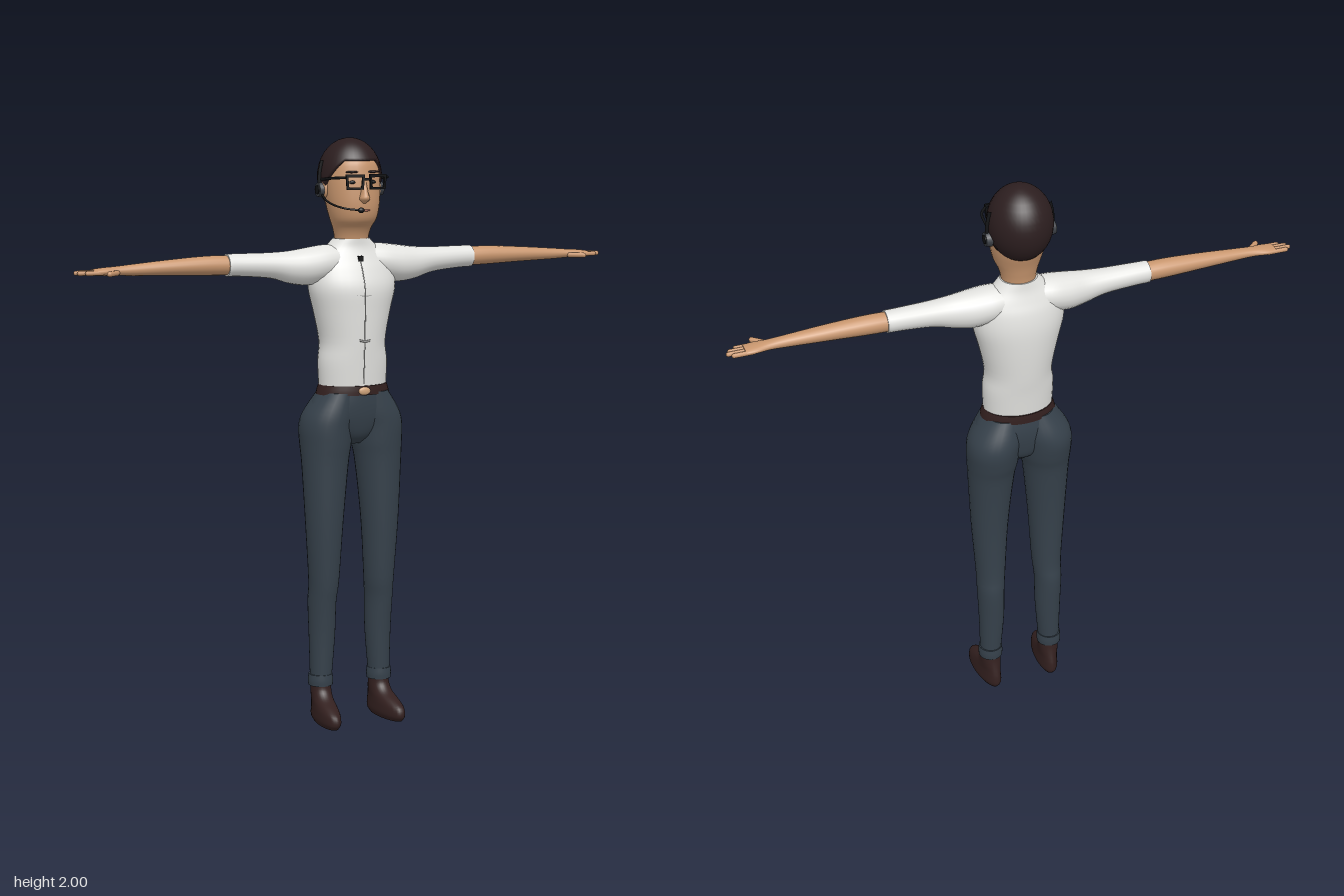
import * as THREE from 'three';

const mat = (name, color, extra = {}) => Object.assign(new THREE.MeshStandardMaterial({ color, ...extra }), { name });
const V = (x, y, z) => new THREE.Vector3(x, y, z);

// Smooth tube of ellipses stacked along y; each section is [y, centreX, centreZ, radiusX, radiusZ]
function loft(sections, sides = 28, steps = 4) {
  const centres = new THREE.CatmullRomCurve3(sections.map(s => V(s[1], s[0], s[2])), false, 'catmullrom', 0.5);
  const radii = new THREE.CatmullRomCurve3(sections.map(s => V(s[3], 0, s[4])), false, 'catmullrom', 0.5);
  const n = (sections.length - 1) * steps, pos = [], idx = [];
  const ring = i => {
    const c = centres.getPoint(i / n), r = radii.getPoint(i / n);
    for (let j = 0; j < sides; j++) {
      const a = j / sides * Math.PI * 2;
      pos.push(c.x + r.x * Math.cos(a), c.y, c.z + r.z * Math.sin(a));
    }
    return c;
  };
  for (let i = 0; i <= n; i++) ring(i);
  for (let i = 0; i < n; i++) for (let j = 0; j < sides; j++) {
    const a = i * sides + j, b = i * sides + (j + 1) % sides;
    idx.push(a, a + sides, b, b, a + sides, b + sides);
  }
  for (const end of [0, n]) {
    const start = pos.length / 3, c = ring(end), mid = start + sides;
    pos.push(c.x, c.y, c.z);
    for (let j = 0; j < sides; j++) {
      const a = start + j, b = start + (j + 1) % sides;
      end ? idx.push(a, mid, b) : idx.push(a, b, mid);
    }
  }
  return finish(pos, idx);
}

function finish(pos, idx) {
  const g = new THREE.BufferGeometry();
  g.setAttribute('position', new THREE.Float32BufferAttribute(pos, 3));
  g.setIndex(idx);
  g.computeVertexNormals();
  return g;
}

// Loft along +x; each section is [x, centreY, centreZ, radiusY, radiusZ]
const armLoft = s => loft(s.map(([x, y, z, ry, rz]) => [x, -y, z, ry, rz]), 20).rotateZ(-Math.PI / 2);

function mirrored(geo) {
  const g = geo.clone().scale(-1, 1, 1);
  g.index.array.reverse();
  return g;
}

const tube = (pts, r, n = 24) => new THREE.TubeGeometry(new THREE.CatmullRomCurve3(pts.map(p => V(...p))), n, r, 8);
const ball = (x, y, z, rx, ry, rz) => new THREE.SphereGeometry(1, 18, 12).scale(rx, ry, rz).translate(x, y, z);
const box = (x, y, z, w, h, d) => new THREE.BoxGeometry(w, h, d).translate(x, y, z);

// Hair cap: ellipsoid whose lower edge falls from the forehead to the nape
function hairCap() {
  const sides = 40, rows = 14, pos = [], idx = [];
  for (let i = 0; i <= rows + 1; i++) for (let j = 0; j < sides; j++) {
    const a = j / sides * Math.PI * 2, front = Math.sin(a);
    const edge = front > 0 ? 1.81 + 0.115 * Math.min(1, front * 1.25) : 1.81 - 0.045 * Math.min(1, -front * 2.5);
    const k = Math.min(i / rows, 1), phi = k * Math.acos((edge - 1.87) / 0.13);
    const r = Math.sin(phi) * (i > rows ? 0.82 : 1);
    pos.push(0.108 * r * Math.cos(a), 1.87 + 0.13 * Math.cos(phi), -0.022 + 0.114 * r * front);
  }
  for (let i = 0; i <= rows; i++) for (let j = 0; j < sides; j++) {
    const a = i * sides + j, b = i * sides + (j + 1) % sides;
    idx.push(a, b, a + sides, b, b + sides, a + sides);
  }
  return finish(pos, idx);
}

export function createModel() {
  const model = new THREE.Group();
  model.name = 'person';
  const skin = mat('skin', 0xc8966e), hair = mat('hair', 0x2c1e1f, { side: THREE.DoubleSide });
  const shirt = mat('shirt', 0xe2e2df), crease = mat('crease', 0xa2a2a0);
  const denim = mat('trousers', 0x36414b), leather = mat('leather', 0x33201f);
  const black = mat('black', 0x131416), grey = mat('headset grey', 0x3c4046);
  const lip = mat('lips', 0xa8695a), brass = mat('buckle', 0xd3a67c);

  const add = (name, geo, m) => {
    const mesh = new THREE.Mesh(geo, m);
    mesh.name = name;
    model.add(mesh);
  };
  const pair = (name, geo, m) => {
    add('left ' + name, geo, m);
    add('right ' + name, mirrored(geo), m);
  };

  // Head and neck
  add('head', loft([
    [1.58, 0, -0.01, 0.055, 0.05], [1.66, 0, -0.008, 0.058, 0.053], [1.70, 0, -0.004, 0.066, 0.063],
    [1.73, 0, 0.005, 0.079, 0.079], [1.77, 0, 0.003, 0.089, 0.09], [1.82, 0, -0.003, 0.095, 0.095],
    [1.88, 0, -0.015, 0.097, 0.101], [1.93, 0, -0.02, 0.084, 0.092], [1.97, 0, -0.02, 0.04, 0.04]]), skin);
  add('nose', loft([
    [1.785, 0, 0.088, 0.006, 0.006], [1.80, 0, 0.092, 0.018, 0.022], [1.82, 0, 0.09, 0.013, 0.019],
    [1.865, 0, 0.082, 0.008, 0.01]], 14), skin);
  add('mouth', ball(0, 1.762, 0.09, 0.024, 0.004, 0.005), lip);
  pair('ear', ball(0.098, 1.83, -0.012, 0.012, 0.03, 0.02), skin);
  pair('eye', ball(0.036, 1.855, 0.079, 0.013, 0.006, 0.006), black);
  pair('eyebrow', ball(0.038, 1.889, 0.079, 0.026, 0.004, 0.006), hair);
  add('hair', hairCap(), hair);

  // Glasses: two square rims, bridge and temples
  const rim = new THREE.Shape();
  rim.moveTo(-0.033, 0.025).lineTo(-0.029, -0.025).lineTo(0.029, -0.025).lineTo(0.033, 0.025).closePath();
  const hole = new THREE.Path();
  hole.moveTo(-0.025, 0.015).lineTo(0.025, 0.015).lineTo(0.022, -0.018).lineTo(-0.022, -0.018).closePath();
  rim.holes.push(hole);
  for (const s of [-1, 1]) {
    const g = new THREE.ExtrudeGeometry(rim, { depth: 0.008, bevelEnabled: false });
    add((s > 0 ? 'left' : 'right') + ' glasses rim', g.rotateY(s * 0.12).translate(s * 0.041, 1.857, 0.104), black);
  }
  add('glasses bridge', box(0, 1.866, 0.11, 0.026, 0.008, 0.008), black);
  pair('glasses temple', tube([[0.072, 1.872, 0.104], [0.096, 1.87, 0.07], [0.106, 1.862, -0.02]], 0.0045), black);

  // Headset: ear cups, side arms and a microphone boom
  pair('ear cup', new THREE.CylinderGeometry(0.023, 0.026, 0.02, 20).rotateZ(-Math.PI / 2).translate(0.109, 1.828, -0.02), grey);
  pair('ear cup cover', new THREE.CylinderGeometry(0.015, 0.015, 0.004, 20).rotateZ(-Math.PI / 2).translate(0.12, 1.828, -0.02), black);
  pair('headset arm', tube([[0.113, 1.84, -0.02], [0.111, 1.88, -0.022], [0.102, 1.925, -0.022]], 0.006), black);
  add('microphone boom', tube([[-0.112, 1.82, -0.015], [-0.108, 1.79, 0.04], [-0.08, 1.772, 0.1], [-0.03, 1.765, 0.125]], 0.0035), black);
  add('microphone', ball(-0.028, 1.765, 0.126, 0.012, 0.009, 0.009), black);

  // Shirt body, collar and sleeves
  add('shirt body', loft([
    [1.165, 0, 0, 0.12, 0.088], [1.25, 0, -0.001, 0.123, 0.094], [1.32, 0, -0.003, 0.116, 0.1],
    [1.42, 0, -0.005, 0.136, 0.105], [1.50, 0, -0.005, 0.156, 0.105], [1.56, 0, -0.01, 0.152, 0.09],
    [1.60, 0, -0.012, 0.135, 0.073], [1.635, 0, -0.012, 0.095, 0.06], [1.665, 0, -0.01, 0.063, 0.056]], 36), shirt);
  pair('sleeve', armLoft([
    [0.05, 1.59, -0.012, 0.055, 0.06], [0.11, 1.583, -0.01, 0.062, 0.068], [0.17, 1.575, -0.006, 0.063, 0.064],
    [0.23, 1.575, -0.003, 0.055, 0.053], [0.30, 1.583, -0.005, 0.043, 0.045], [0.40, 1.588, -0.009, 0.038, 0.04],
    [0.455, 1.589, -0.01, 0.037, 0.038]]), shirt);
  add('placket seam', tube([[0, 1.18, 0.088], [0, 1.25, 0.092], [0, 1.32, 0.096], [0, 1.42, 0.099], [0, 1.5, 0.099],
    [0, 1.56, 0.079], [0, 1.6, 0.06]], 0.0022), crease);
  for (const [y, w] of [[1.478, 0.03], [1.325, 0.02]])
    add('shirt fold', tube([[-w, y + 0.004, 0.096], [0, y, 0.0985], [w, y + 0.002, 0.096]], 0.0035), crease);
  add('clip microphone', box(0, 1.6, 0.063, 0.016, 0.018, 0.012), black);

  // Forearms and hands
  pair('forearm', armLoft([
    [0.43, 1.588, -0.01, 0.032, 0.034], [0.52, 1.59, -0.01, 0.032, 0.034], [0.65, 1.589, -0.008, 0.026, 0.03],
    [0.78, 1.586, -0.006, 0.019, 0.023], [0.84, 1.585, -0.006, 0.015, 0.023], [0.885, 1.584, -0.007, 0.013, 0.03],
    [0.92, 1.583, -0.007, 0.010, 0.029]]), skin);
  [0.95, 0.972, 0.98, 0.965].forEach((tip, i) => {
    const z = 0.015 - i * 0.0145;
    pair('finger', new THREE.CapsuleGeometry(0.0078, tip - 0.9, 4, 10).rotateZ(-Math.PI / 2)
      .translate((tip + 0.885) / 2, 1.582, z), skin);
  });
  pair('thumb', new THREE.CapsuleGeometry(0.009, 0.05, 4, 10).rotateX(Math.PI / 2).rotateY(0.85)
    .translate(0.862, 1.58, 0.032), skin);

  // Belt and buckle
  add('belt', loft([[1.142, 0, 0, 0.131, 0.094], [1.157, 0, 0, 0.127, 0.094], [1.174, 0, 0, 0.121, 0.093]], 36), leather);
  add('buckle', ball(0, 1.157, 0.094, 0.022, 0.014, 0.007), brass);

  // Trousers: hips, legs and turned cuffs
  add('hips', loft([
    [0.97, 0, -0.008, 0.03, 0.04], [1.0, 0, -0.008, 0.09, 0.07], [1.05, 0, -0.006, 0.15, 0.085],
    [1.10, 0, -0.004, 0.154, 0.091], [1.15, 0, 0, 0.125, 0.09]], 36), denim);
  pair('trouser leg', loft([
    [0.13, 0.112, -0.02, 0.036, 0.038], [0.3, 0.107, -0.02, 0.045, 0.047], [0.42, 0.108, -0.017, 0.048, 0.056],
    [0.5, 0.105, -0.008, 0.052, 0.058], [0.7, 0.105, -0.003, 0.065, 0.067], [0.9, 0.1, -0.007, 0.08, 0.081],
    [0.97, 0.096, -0.012, 0.088, 0.092], [1.03, 0.093, -0.015, 0.092, 0.099], [1.08, 0.08, -0.011, 0.09, 0.097],
    [1.15, 0.058, 0, 0.064, 0.084]]), denim);
  pair('trouser cuff', loft([[0.127, 0.112, -0.021, 0.042, 0.043], [0.145, 0.112, -0.021, 0.043, 0.044],
    [0.166, 0.112, -0.021, 0.041, 0.043]]), denim);

  // Shoes, toes turned slightly outward
  pair('shoe', loft([
    [0, 0, 0.05, 0.03, 0.096], [0.018, 0, 0.05, 0.039, 0.11], [0.045, 0, 0.047, 0.038, 0.106],
    [0.065, 0, 0.032, 0.036, 0.086], [0.085, 0, 0.01, 0.035, 0.058], [0.11, 0, 0, 0.035, 0.042],
    [0.14, 0, 0, 0.034, 0.038]]).rotateY(0.09).translate(0.111, 0, -0.02), leather);

  return model;
}
